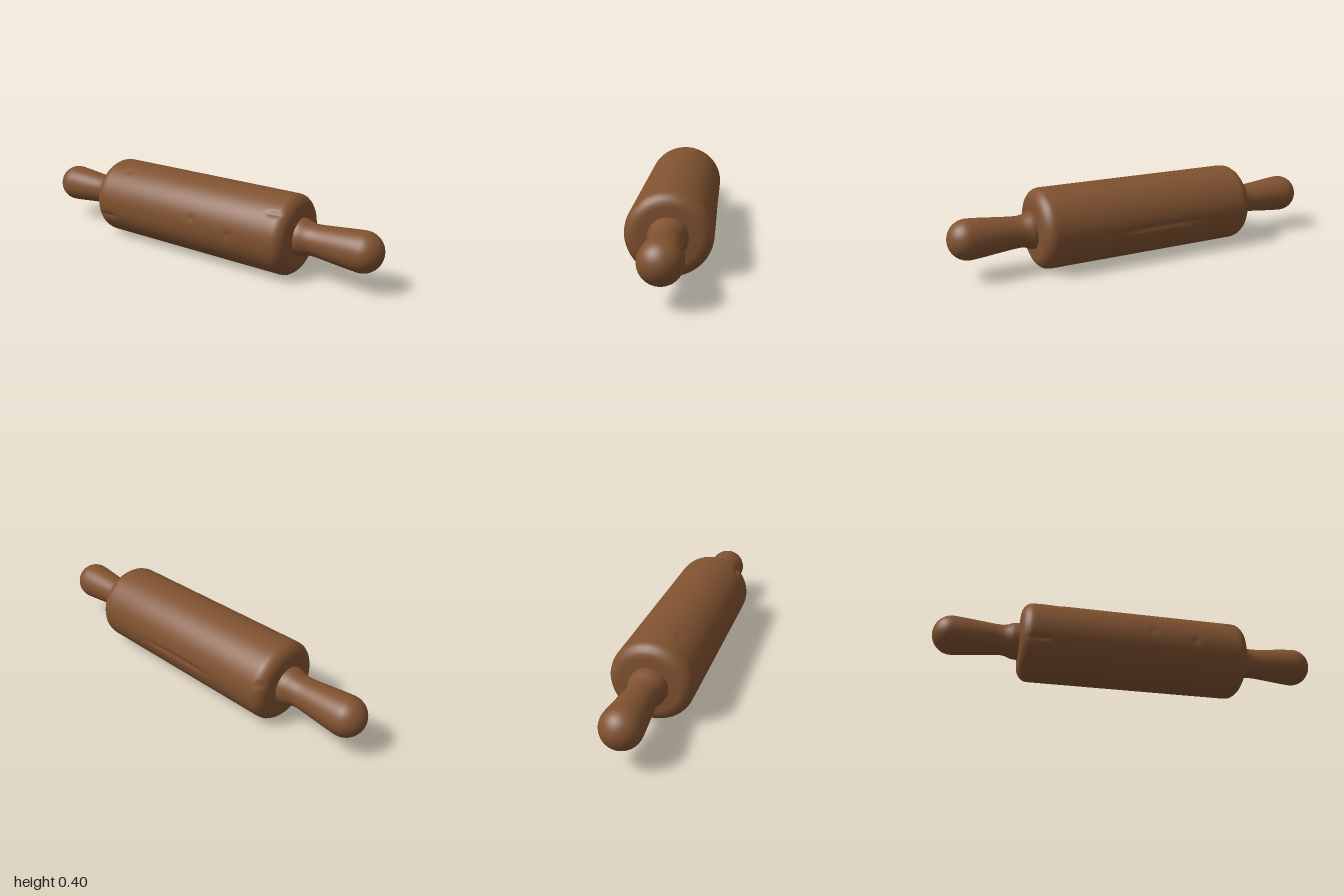
import * as THREE from 'three';
import { mergeVertices } from 'three/addons/utils/BufferGeometryUtils.js';

const AXIS_Y = 0.2;

// Turned solid along x from [x, radius] pairs, welded so the shading is smooth
function turned(points, segments, deform) {
  let geo = new THREE.LatheGeometry(points.map(([x, r]) => new THREE.Vector2(r, x)), segments);
  geo.rotateZ(-Math.PI / 2);
  geo.deleteAttribute('uv');
  geo.deleteAttribute('normal');
  geo = mergeVertices(geo, 1e-5);
  if (deform) deform(geo.attributes.position);
  geo.computeVertexNormals();
  return geo;
}

// Worn scratches and dents: x, angle from +z towards +y, half length, half width, depth
const dents = [
  [0.52, 0.78, 0.035, 0.012, 0.008],
  [-0.48, -0.3, 0.055, 0.01, 0.008],
  [0.3, 0.02, 0.018, 0.018, 0.005],
  [0.08, 0.2, 0.02, 0.015, 0.004],
  [-0.4, 1.1, 0.025, 0.02, 0.004],
  [-0.02, Math.PI + 0.08, 0.21, 0.01, 0.009],
  [-0.55, Math.PI - 0.4, 0.015, 0.015, 0.008],
];

function wear(pos) {
  for (let i = 0; i < pos.count; i++) {
    const x = pos.getX(i), y = pos.getY(i), z = pos.getZ(i);
    const r = Math.hypot(y, z);
    if (r < 0.17) continue;
    const angle = Math.atan2(y, z);
    let depth = 0;
    for (const [dx, da, length, width, amount] of dents) {
      const turn = Math.atan2(Math.sin(angle - da), Math.cos(angle - da));
      const u = (x - dx) / length, v = (turn * r) / width;
      depth += amount * Math.exp(-(u ** 4) - v * v);
    }
    const k = 1 - depth / r;
    pos.setXYZ(i, x, y * k, z * k);
  }
}

export function createModel() {
  const group = new THREE.Group();
  const wood = new THREE.MeshStandardMaterial({ color: 0x805230 });
  wood.name = 'brown wood';

  // Roller with softly rounded rims
  const left = 0.592, right = -0.576;
  const rim = [[0, 0], [0, 0.08], [0.001, 0.14], [0.004, 0.158], [0.012, 0.174], [0.024, 0.187], [0.038, 0.196], [0.05, 0.199]];
  const profile = rim.map(([d, r]) => [right + d, r]);
  const steps = 100;
  for (let i = 1; i < steps; i++) {
    profile.push([THREE.MathUtils.lerp(right + 0.05, left - 0.05, i / steps), 0.2]);
  }
  profile.push(...rim.map(([d, r]) => [left - d, r]).reverse());
  const roller = new THREE.Mesh(turned(profile, 128, wear), wood);
  roller.name = 'roller';
  roller.position.y = AXIS_Y;
  roller.scale.z = 1.02;
  group.add(roller);

  // Handles: flared collar, slim neck, rounded knob
  const handleCurve = [
    [0.56, 0.094], [0.6, 0.093], [0.618, 0.089], [0.635, 0.081], [0.66, 0.077],
    [0.7, 0.079], [0.78, 0.087], [0.85, 0.094], [0.9, 0.098],
  ];
  for (let i = 1; i <= 12; i++) {
    const a = (i / 12) * Math.PI / 2;
    handleCurve.push([0.905 + 0.095 * Math.sin(a), i === 12 ? 0 : 0.098 * Math.cos(a)]);
  }
  const handleGeo = turned(handleCurve, 48);
  for (const side of [1, -1]) {
    const handle = new THREE.Mesh(handleGeo, wood);
    handle.name = side > 0 ? 'leftHandle' : 'rightHandle';
    handle.position.y = AXIS_Y;
    if (side < 0) handle.rotation.y = Math.PI;
    group.add(handle);
  }
  return group;
}
